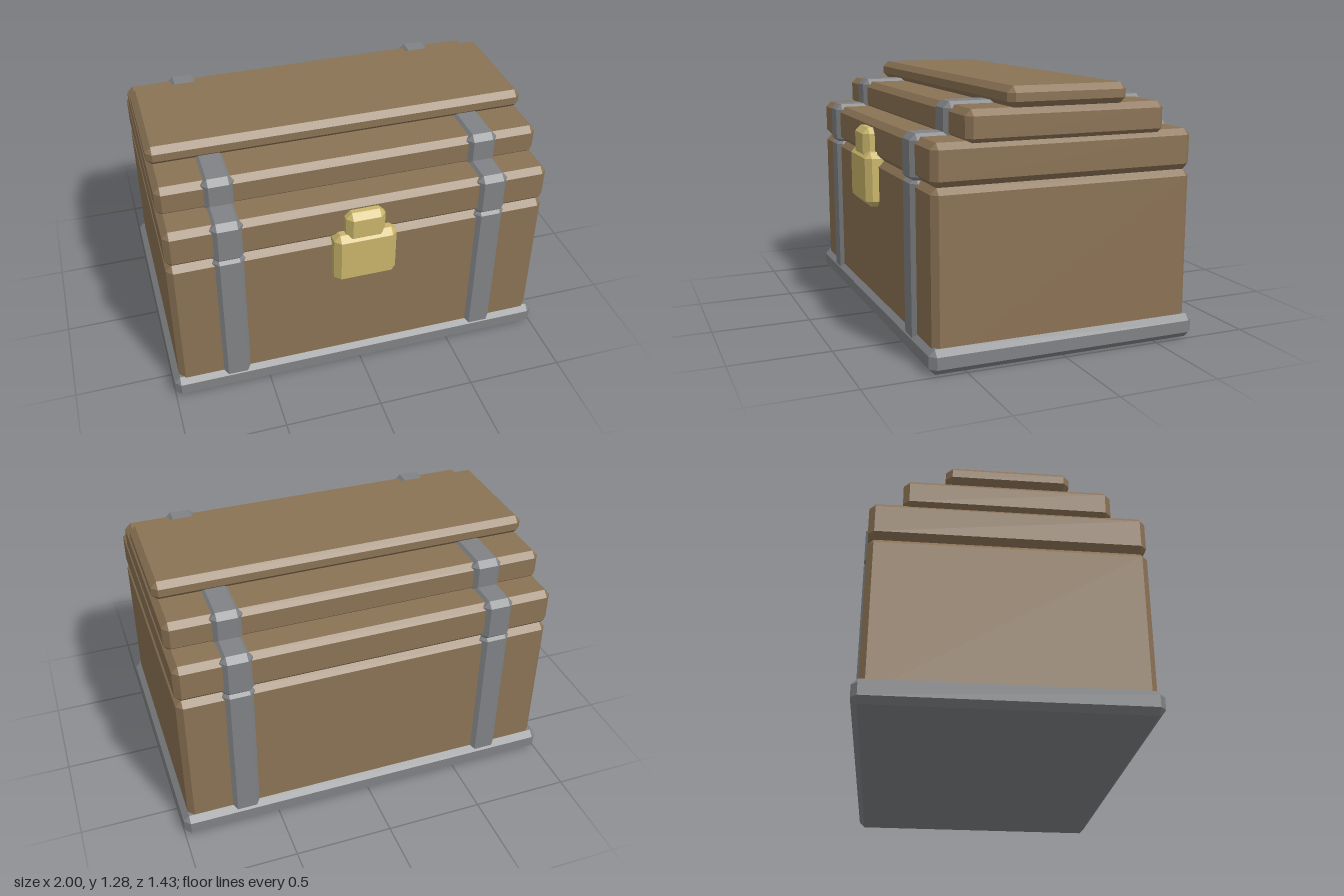
import * as THREE from 'three';
import { ConvexGeometry } from 'three/addons/geometries/ConvexGeometry.js';

const BEVEL = 0.03;

// Box with every edge chamfered, given by its extents on each axis.
function chamferBox([x0, x1], [y0, y1], [z0, z1], b = BEVEL) {
  const half = new THREE.Vector3(x1 - x0, y1 - y0, z1 - z0).multiplyScalar(0.5);
  const points = [];
  for (const sx of [-1, 1]) for (const sy of [-1, 1]) for (const sz of [-1, 1]) {
    // Three points per corner: each lies on one face, inset from the other two.
    for (let face = 0; face < 3; face++) {
      const inset = [b, b, b];
      inset[face] = 0;
      points.push(new THREE.Vector3(
        sx * (half.x - inset[0]), sy * (half.y - inset[1]), sz * (half.z - inset[2])));
    }
  }
  const geometry = new ConvexGeometry(points);
  geometry.translate((x0 + x1) / 2, (y0 + y1) / 2, (z0 + z1) / 2);
  return geometry;
}

export function createModel() {
  const material = (name, color) => {
    const m = new THREE.MeshStandardMaterial({ color });
    m.name = name;
    return m;
  };
  const wood = material('wood', 0x8b7355);
  const iron = material('iron', 0x808285);
  const brass = material('brass', 0xc9b56b);

  const chest = new THREE.Group();
  chest.name = 'chest';
  const add = (name, mat, x, y, z) => {
    const mesh = new THREE.Mesh(chamferBox(x, y, z), mat);
    mesh.name = name;
    chest.add(mesh);
  };

  // Iron base plinth
  add('base', iron, [-1, 1], [0, 0.12], [-0.715, 0.675]);

  // Wooden body and stepped lid; the lowest three tiers carry straps
  const tiers = [
    { name: 'body', y: [0.02, 0.85], z: [-0.685, 0.65], strapped: true },
    { name: 'lidLower', y: [0.85, 1.05], z: [-0.685, 0.65], strapped: true },
    { name: 'lidMiddle', y: [1.03, 1.19], z: [-0.527, 0.485], strapped: true },
    { name: 'lidTop', y: [1.185, 1.285], z: [-0.323, 0.283], strapped: false },
  ];
  for (const { name, y, z, strapped } of tiers) {
    add(name, wood, [-0.97, 0.97], y, z);
    if (!strapped) continue;
    // Iron straps wrap each tier, slightly proud of the wood
    for (const [side, x] of [['Left', 0.67], ['Right', -0.67]]) {
      add(`${name}Strap${side}`, iron, [x - 0.08, x + 0.08],
        [y[0] - 0.015, y[1] + 0.014], [z[0] - 0.02, z[1] + 0.02]);
    }
  }

  // Brass lock: plate on the body and hasp on the lid
  add('lockPlate', brass, [-0.16, 0.16], [0.61, 0.893], [0.58, 0.715]);
  add('lockHasp', brass, [-0.1, 0.1], [0.85, 1.013], [0.58, 0.707]);

  return chest;
}
